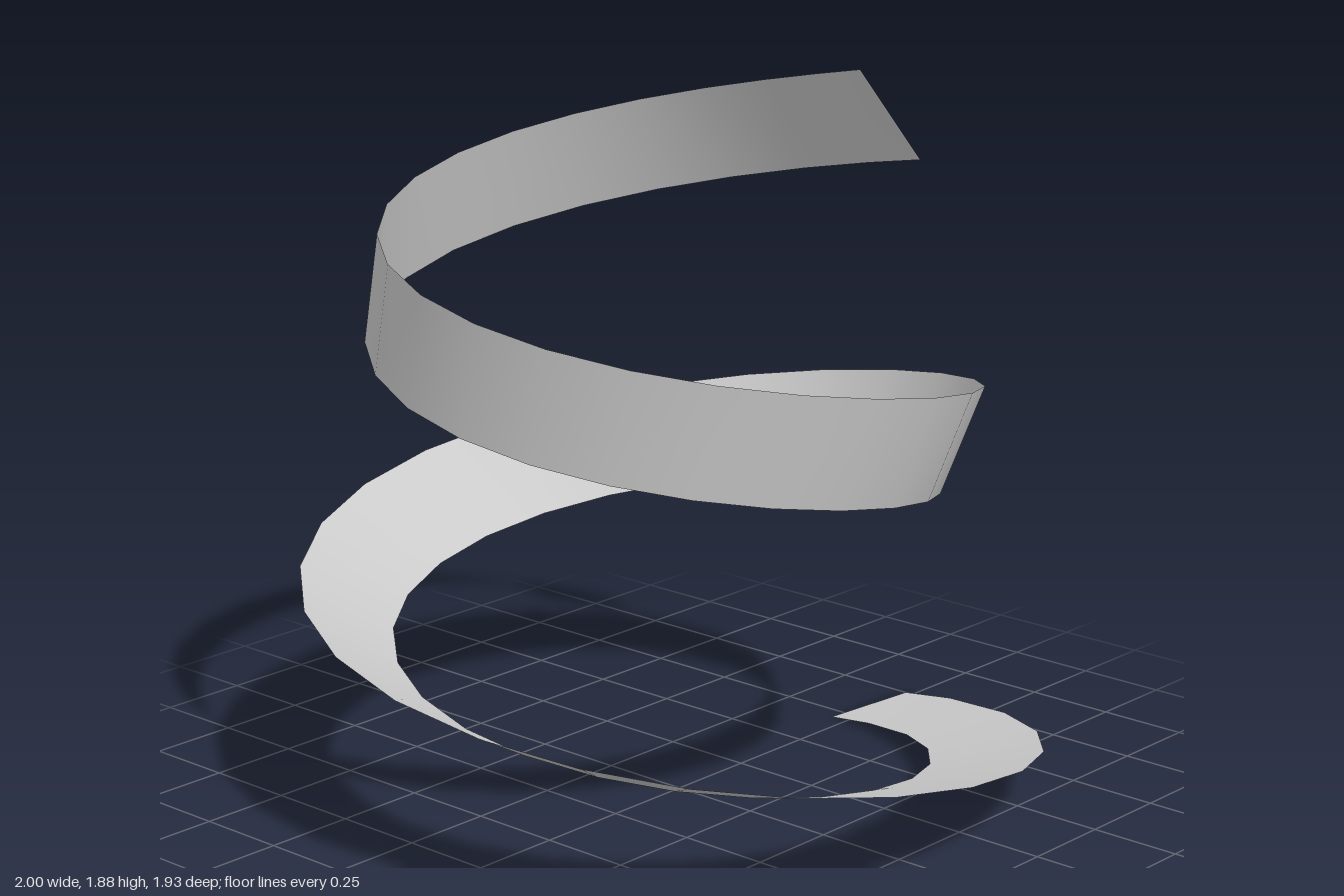
import * as THREE from 'three';

const RINGS = 48;        // segments along the ribbon
const HALF_WIDTH = 0.151;
const RISE = 0.857;      // height gained per turn
const SHRINK = 0.085;    // radius lost per turn
const TWIST = Math.PI / 3; // roll per turn
const CENTRE = new THREE.Vector3(-0.03, 0, -0.038);

const rad = THREE.MathUtils.degToRad;

// Midline of the narrowing helix, by angle
function midline(angle) {
  const turns = angle / (2 * Math.PI);
  const r = 0.88 - SHRINK * turns;
  return new THREE.Vector3(r * Math.cos(angle), RISE * turns, r * Math.sin(angle)).add(CENTRE);
}

// Inner and outer edge points of one cross-section
function section(k) {
  const angle = k === 0 ? 0 : rad(10.6 + 15.455 * (k - 1));
  const turns = angle / (2 * Math.PI);
  const roll = TWIST * turns;
  const mid = midline(angle);
  const facing = k === 0 ? rad(5) : angle; // the first edge is cut slightly askew
  const out = new THREE.Vector3(Math.cos(facing), 0, Math.sin(facing));
  const tangent = midline(angle + 0.01).sub(midline(angle - 0.01)).normalize();
  const up = new THREE.Vector3().crossVectors(tangent, out).normalize();
  if (up.y < 0) up.negate();
  const across = out.multiplyScalar(Math.cos(roll)).addScaledVector(up, Math.sin(roll));
  return [-1, 1].map((s) => mid.clone().addScaledVector(across, s * HALF_WIDTH));
}

export function createModel() {
  const group = new THREE.Group();
  group.name = 'twistedSpiral';

  // Thin strip, rolling from flat at the base past upright at the top
  const positions = [];
  const indices = [];
  for (let k = 0; k <= RINGS; k++) {
    for (const p of section(k)) positions.push(p.x, Math.max(p.y, 0), p.z);
    if (k < RINGS) {
      const a = 2 * k;
      indices.push(a, a + 2, a + 1, a + 1, a + 2, a + 3);
    }
  }
  const geometry = new THREE.BufferGeometry();
  geometry.setAttribute('position', new THREE.Float32BufferAttribute(positions, 3));
  geometry.setIndex(indices);
  geometry.computeVertexNormals();

  const material = new THREE.MeshStandardMaterial({ color: 0xcccccc, side: THREE.DoubleSide });
  const ribbon = new THREE.Mesh(geometry, material);
  ribbon.name = 'spiralRibbon';
  group.add(ribbon);
  return group;
}
